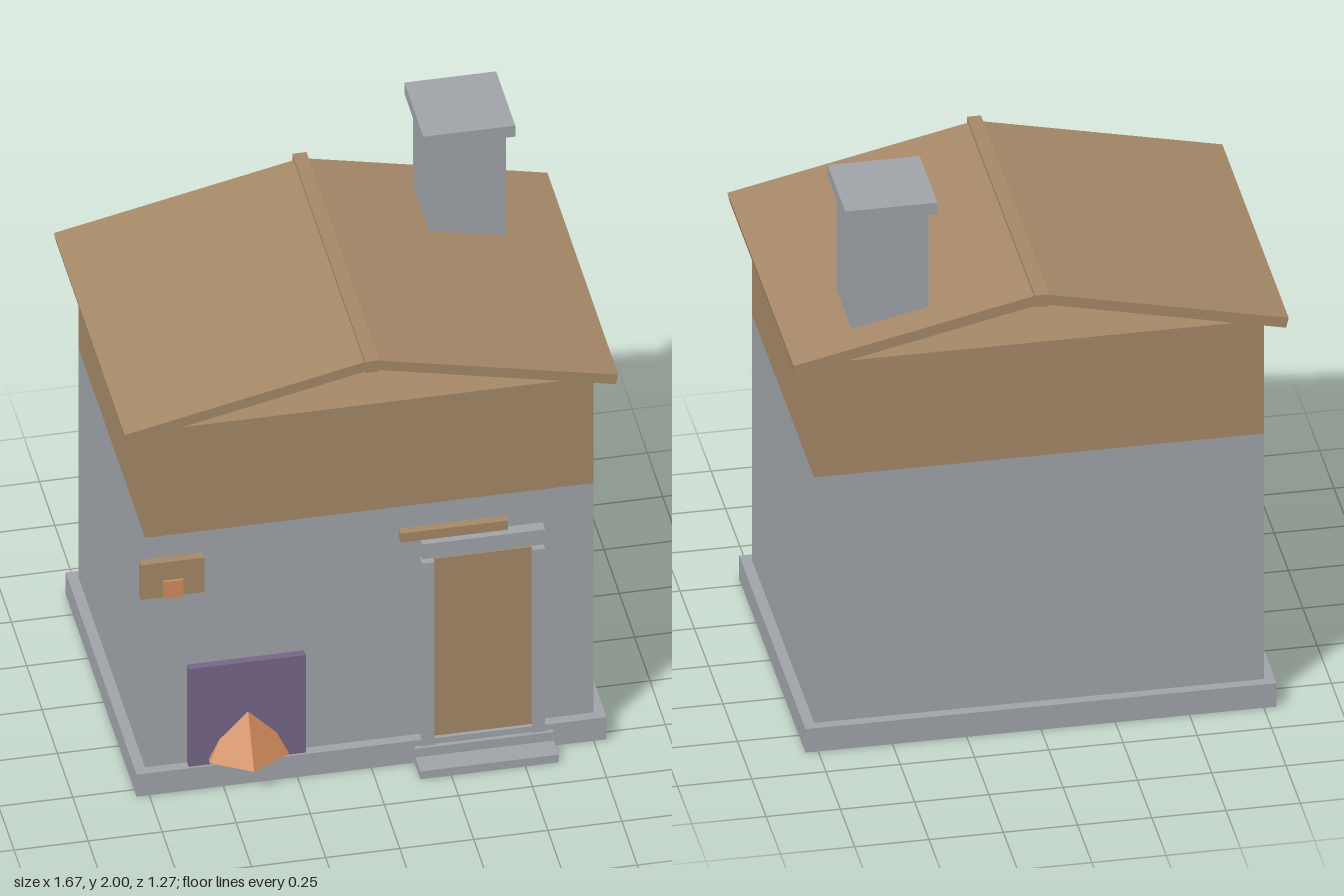
import * as THREE from 'three';

export function createModel() {
  const house = new THREE.Group();
  house.name = 'house';

  const mat = (name, color) => {
    const m = new THREE.MeshStandardMaterial({ color });
    m.name = name;
    return m;
  };
  const stone = mat('greyStone', 0xa0a4a9);
  const wood = mat('tanWood', 0xa68968);
  const purple = mat('purplePanel', 0x776688);
  const orange = mat('flameOrange', 0xd28d5d);

  // Box given by its limits on each axis
  const box = (name, material, [x0, x1], [y0, y1], [z0, z1]) => {
    const mesh = new THREE.Mesh(new THREE.BoxGeometry(x1 - x0, y1 - y0, z1 - z0), material);
    mesh.position.set((x0 + x1) / 2, (y0 + y1) / 2, (z0 + z1) / 2);
    mesh.name = name;
    house.add(mesh);
    return mesh;
  };

  // Plinth and two-tone walls
  box('plinth', stone, [-0.793, 0.793], [0, 0.09], [-0.615, 0.54]);
  box('lowerWall', stone, [-0.757, 0.757], [0.09, 1.03], [-0.58, 0.505]);
  box('upperWall', wood, [-0.757, 0.757], [1.03, 1.465], [-0.58, 0.505]);

  // Pitched roof with open gables, and its ridge beam
  const pitch = 0.217;
  for (const side of [-1, 1]) {
    const slab = new THREE.Mesh(new THREE.BoxGeometry(0.853, 0.038, 1.154), wood);
    slab.position.set(side * 0.4125, 1.559, -0.039);
    slab.rotation.z = -side * pitch;
    slab.name = side > 0 ? 'leftRoofSlab' : 'rightRoofSlab';
    house.add(slab);
  }
  box('ridgeBeam', wood, [-0.024, 0.024], [1.632, 1.677], [-0.635, 0.555]);

  // Chimney
  box('chimney', stone, [0.355, 0.615], [1.465, 1.955], [-0.495, -0.235]);
  box('chimneyCap', stone, [0.33, 0.64], [1.955, 2], [-0.518, -0.208]);

  // Door, frame and steps
  box('door', wood, [0.21, 0.545], [0.09, 0.815], [0.5, 0.526]);
  for (const x of [0.17, 0.543]) box('doorJamb', stone, [x, x + 0.042], [0.065, 0.815], [0.5, 0.545]);
  box('doorLintel', stone, [0.17, 0.585], [0.835, 0.895], [0.5, 0.547]);
  box('lowerStep', stone, [0.145, 0.612], [0, 0.032], [0.5, 0.635]);
  box('upperStep', stone, [0.145, 0.612], [0.032, 0.067], [0.5, 0.555]);

  // Board with hangers above the door
  box('doorBoard', wood, [0.1, 0.462], [0.905, 0.942], [0.5, 0.536]);
  for (const x of [0.143, 0.245, 0.345]) {
    box('boardHanger', stone, [x - 0.011, x + 0.011], [x < 0.2 ? 0.727 : 0.815, 0.905], [0.5, 0.522]);
  }

  // Small wall sign
  box('wallSign', wood, [-0.778, -0.562], [0.8, 0.942], [0.505, 0.535]);
  box('signEmblem', orange, [-0.702, -0.635], [0.8, 0.868], [0.535, 0.543]);

  // Hearth panel with a six-sided flame set into it
  box('hearthPanel', purple, [-0.615, -0.22], [0.09, 0.49], [0.5, 0.532]);
  const flameGeometry = new THREE.ConeGeometry(0.154, 0.28, 6).toNonIndexed();
  flameGeometry.computeVertexNormals();
  const flame = new THREE.Mesh(flameGeometry, orange);
  flame.position.set(-0.415, 0.25, 0.476);
  flame.name = 'flame';
  house.add(flame);

  return house;
}
